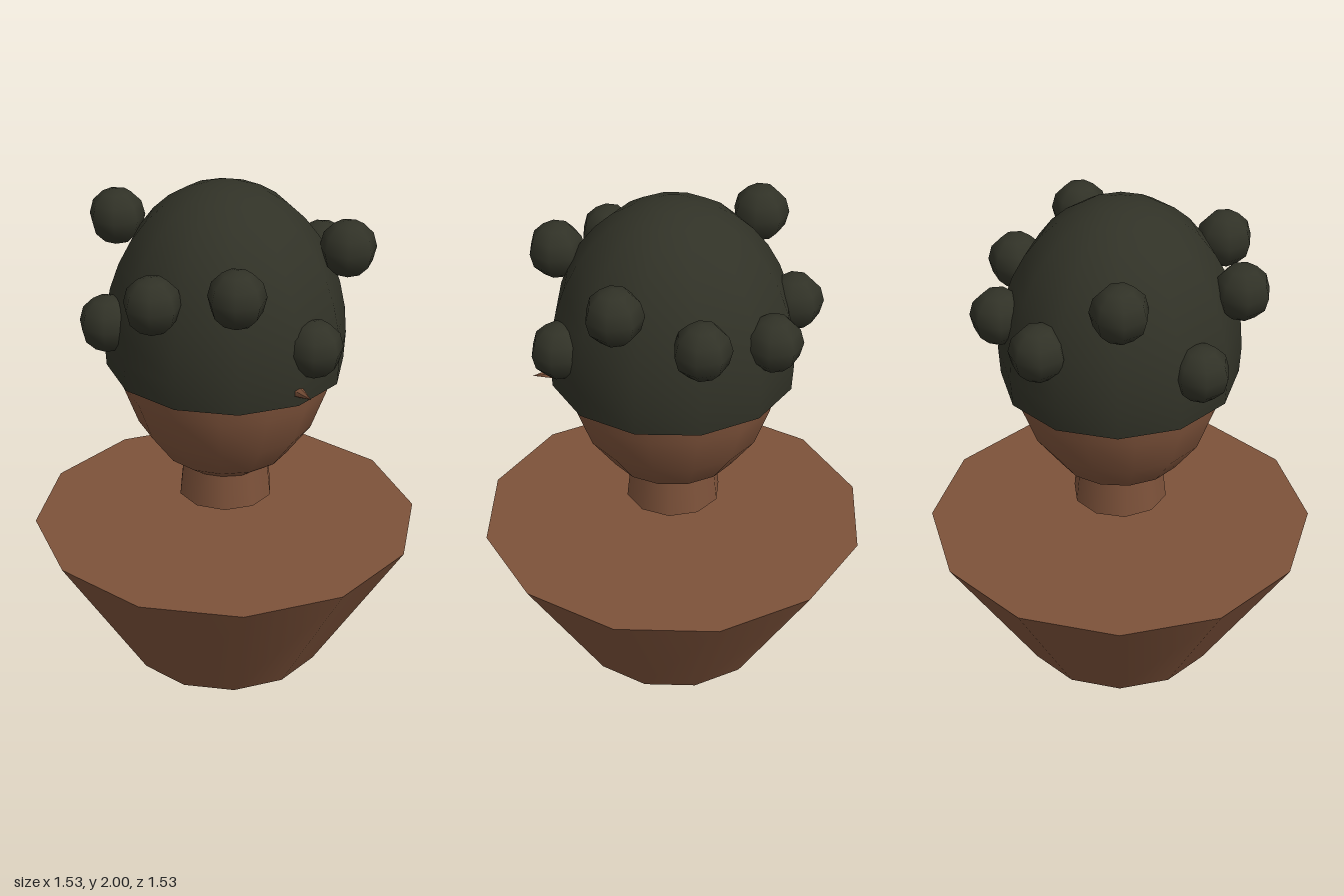
import * as THREE from 'three';

export function createModel() {
  const model = new THREE.Group();
  const skin = new THREE.MeshStandardMaterial({ color: 0x7d523a });
  skin.name = 'brownSkin';
  const hair = new THREE.MeshStandardMaterial({ color: 0x313227, side: THREE.DoubleSide });
  hair.name = 'darkHair';

  function add(name, geometry, material, x, y, z) {
    const mesh = new THREE.Mesh(geometry, material);
    mesh.name = name;
    mesh.position.set(x, y, z);
    model.add(mesh);
    return mesh;
  }

  // Tapered twelve-sided bust, with a gap below the neck
  add('bust', new THREE.CylinderGeometry(0.765, 0.395, 0.595, 12), skin, 0, 0.2975, 0);
  add('neck', new THREE.CylinderGeometry(0.16, 0.188, 0.27, 10), skin, 0, 0.85, 0);

  // Egg-shaped head
  const head = add('head', new THREE.SphereGeometry(1, 14, 10), skin, 0, 1.38, 0);
  head.scale.set(0.423, 0.58, 0.428);

  // Hair cap, open at the bottom
  const cap = add('hairCap',
    new THREE.SphereGeometry(1, 12, 10, 0, Math.PI * 2, 0, Math.PI * 0.554), hair, 0, 1.38, 0);
  cap.scale.set(0.462, 0.62, 0.478);

  // Ring of hair knots at varying heights
  const knot = new THREE.SphereGeometry(0.11, 7, 6);
  const heights = [1.64, 1.76, 1.48, 1.735, 1.675, 1.49, 1.8, 1.575, 1.57];
  heights.forEach((y, i) => {
    const a = (i / heights.length) * Math.PI * 2;
    add('hairKnot' + (i + 1), knot, hair, Math.cos(a) * 0.46, y, Math.sin(a) * 0.46);
  });

  // Small pointed nose, mostly under the hair
  const nose = add('nose', new THREE.ConeGeometry(0.042, 0.15, 6), skin, 0, 1.33, 0.47);
  nose.rotation.x = Math.PI / 2;

  return model;
}
